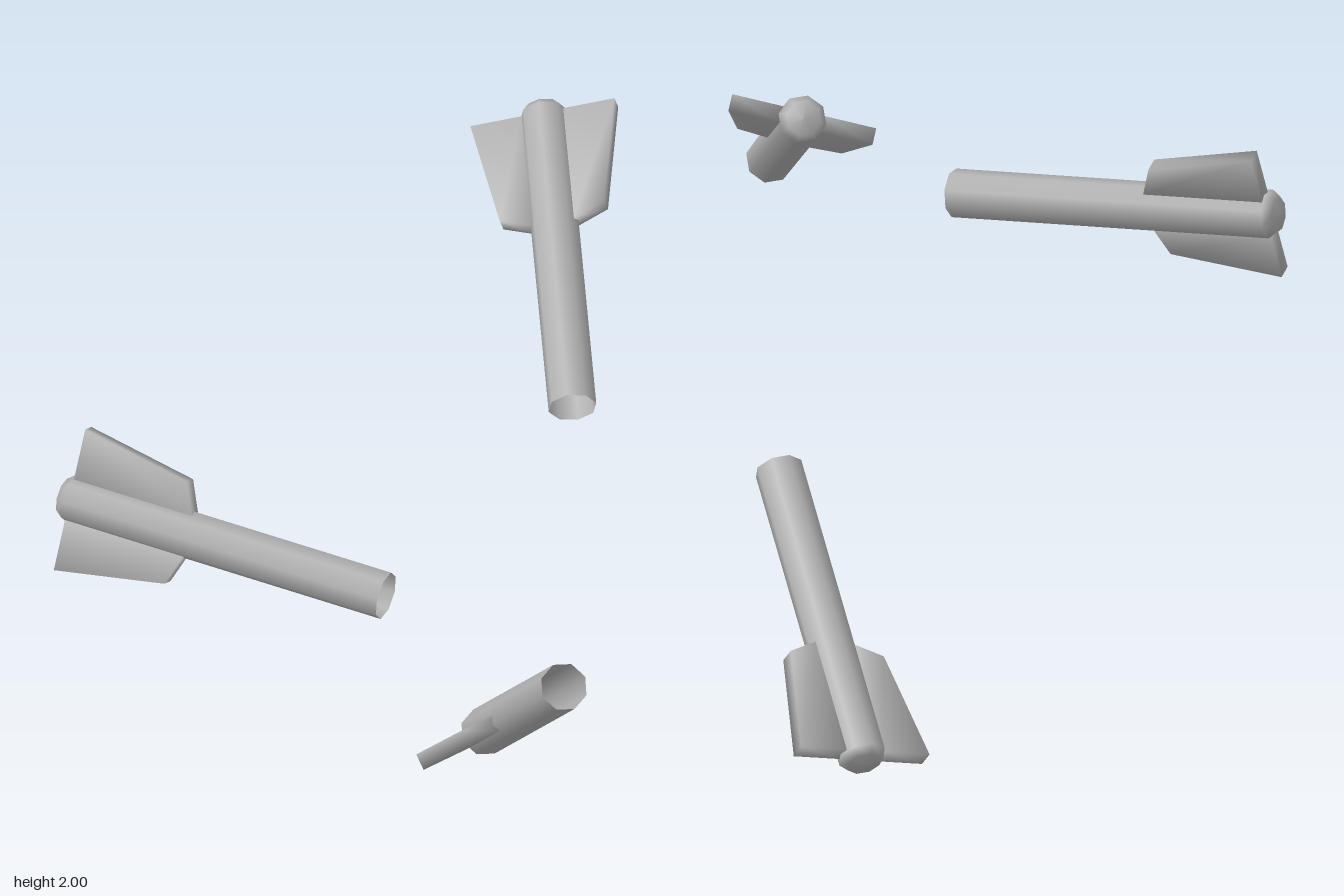
import * as THREE from 'three';
import { mergeVertices } from 'three/addons/utils/BufferGeometryUtils.js';

const grey = new THREE.MeshStandardMaterial({ color: 0xb0b0b0, side: THREE.DoubleSide });
grey.name = 'plain grey';

// Eight-sided tube, open at the nose (y = 0) and domed at the tail
function tubeGeometry() {
  const profile = [[0.066, 0], [0.066, 0.935], [0.048, 0.958], [0, 0.966]];
  return new THREE.LatheGeometry(profile.map(([r, y]) => new THREE.Vector2(r, y)), 8);
}

// Swept fin plate with softly shared normals; side is +1 or -1
function finGeometry(side) {
  const outline = [[0.058, 0.58], [0.145, 0.615], [0.2, 0.93], [0.058, 0.93]];
  const shape = new THREE.Shape(outline.map(([x, y]) => new THREE.Vector2(x * side, y)));
  const thickness = 0.046;
  let geo = new THREE.ExtrudeGeometry(shape, { depth: thickness, bevelEnabled: false });
  geo.translate(0, 0, -thickness / 2);
  geo.deleteAttribute('normal');
  geo.deleteAttribute('uv');
  geo = mergeVertices(geo);
  geo.computeVertexNormals();
  return geo;
}

// One finned tube: nose position, tail position and the direction of its first fin
function finnedTube(name, nose, tail, finDirection) {
  const group = new THREE.Group();
  group.name = name;

  const tube = new THREE.Mesh(tubeGeometry(), grey);
  tube.name = 'tube';
  group.add(tube);
  for (const side of [1, -1]) {
    const fin = new THREE.Mesh(finGeometry(side), grey);
    fin.name = side > 0 ? 'firstFin' : 'secondFin';
    group.add(fin);
  }

  // Local y runs nose to tail, local x points along the fins
  const start = new THREE.Vector3(...nose);
  const yAxis = new THREE.Vector3(...tail).sub(start).normalize();
  const zAxis = new THREE.Vector3(...finDirection).cross(yAxis).normalize();
  const xAxis = yAxis.clone().cross(zAxis);
  group.quaternion.setFromRotationMatrix(new THREE.Matrix4().makeBasis(xAxis, yAxis, zAxis));
  group.position.copy(start);
  return group;
}

export function createModel() {
  const model = new THREE.Group();
  model.name = 'finnedTubes';
  model.add(
    finnedTube('upperFinnedTube', [0.29, 1.505, 0.365], [0.77, 1.94, -0.33], [0.148, 0.05, 0.128]),
    finnedTube('middleFinnedTube', [-0.42, 1.213, 0.43], [-0.835, 1.295, -0.43], [0.068, 0.19, -0.015]),
    finnedTube('lowerFinnedTube', [0.285, 0.62, 0.335], [0.585, 0.05, -0.365], [0.187, 0.043, 0.042]),
  );
  return model;
}
